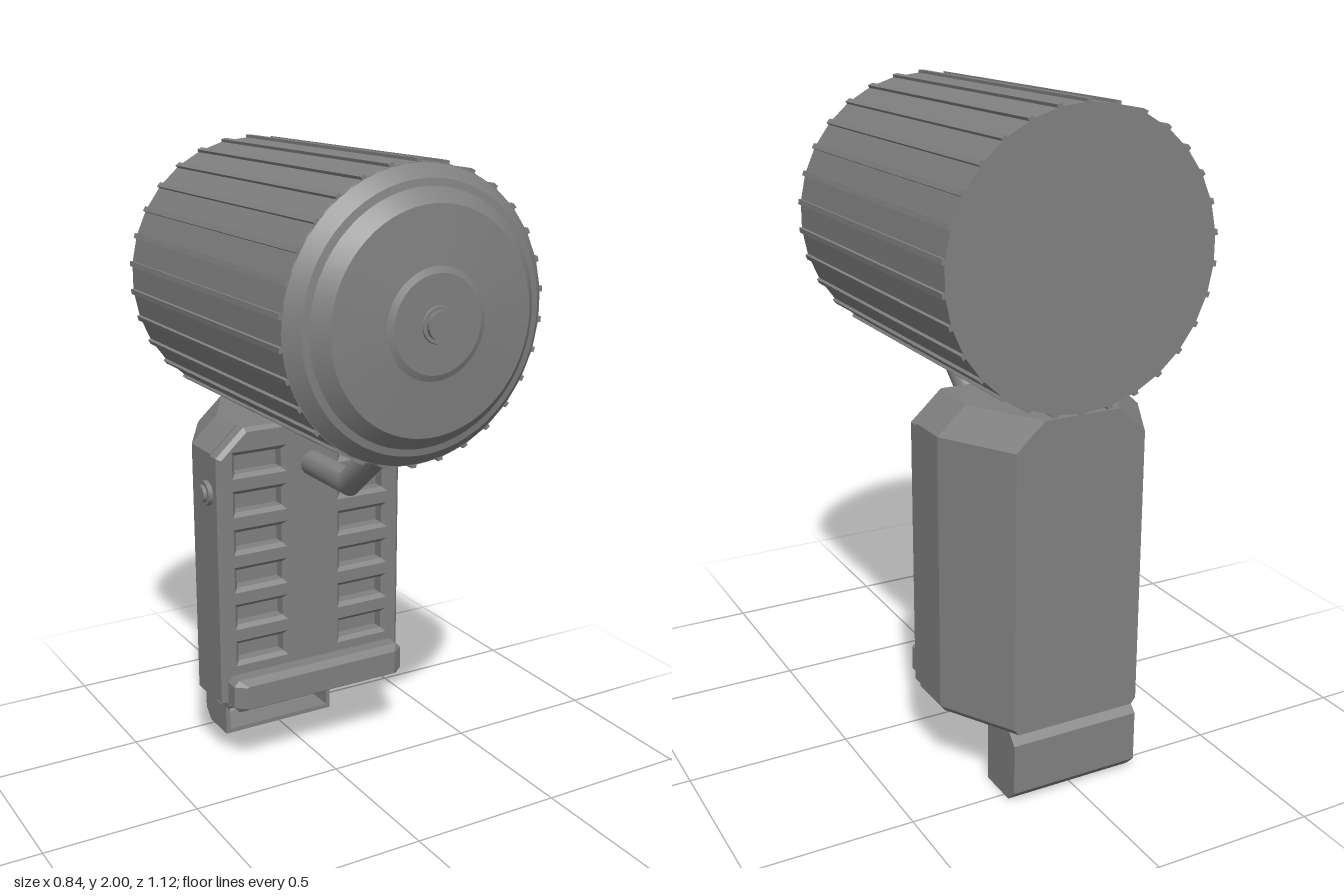
import * as THREE from 'three';
import { toCreasedNormals } from 'three/addons/utils/BufferGeometryUtils.js';

const grey = new THREE.MeshStandardMaterial({ color: 0x808080 });
grey.name = 'grey';

// Closed solid through rings of [x, y, z], counter-clockwise seen from +z, ordered back to front
function loft(rings, crease = 0.1) {
  const n = rings[0].length, pos = [];
  const tri = (a, b, c) => pos.push(...a, ...b, ...c);
  for (let i = 0; i + 1 < rings.length; i++) {
    for (let j = 0; j < n; j++) {
      const k = (j + 1) % n, r = rings[i], s = rings[i + 1];
      tri(r[j], r[k], s[k]);
      tri(r[j], s[k], s[j]);
    }
  }
  const back = rings[0], front = rings[rings.length - 1];
  for (let j = 1; j + 1 < n; j++) {
    tri(back[0], back[j + 1], back[j]);
    tri(front[0], front[j], front[j + 1]);
  }
  const g = new THREE.BufferGeometry();
  g.setAttribute('position', new THREE.Float32BufferAttribute(pos, 3));
  return toCreasedNormals(g, crease);
}

// Housing outline: chamfered top corners, slightly bevelled bottom corners
function housingOutline(w, y0, y1) {
  return [[w - 0.015, y0], [w, y0 + 0.018], [w, y1 - 0.08], [w - 0.088, y1],
    [-w + 0.088, y1], [-w, y1 - 0.08], [-w, y0 + 0.018], [-w + 0.015, y0]];
}

// Rectangle with clipped corners
function clippedRect(w, y0, y1, c) {
  return [[w - c, y0], [w, y0 + c], [w, y1 - c], [w - c, y1],
    [-w + c, y1], [-w, y1 - c], [-w, y0 + c], [-w + c, y0]];
}

const atZ = (outline, z) => outline.map(([x, y]) => [x, y, z]);
const toShape = (pts) => new THREE.Shape(pts.map(([x, y]) => new THREE.Vector2(x, y)));

export function createModel() {
  const model = new THREE.Group();
  const add = (name, geometry, parent = model) => {
    const mesh = new THREE.Mesh(geometry, grey);
    mesh.name = name;
    parent.add(mesh);
    return mesh;
  };

  // Ribbed drum lying along z
  const drum = new THREE.Group();
  drum.name = 'drum';
  drum.position.y = 1.578;
  model.add(drum);
  const ribs = 30, zBack = -0.56, zFront = 0.438;
  const shell = new THREE.CylinderGeometry(0.415, 0.415, zFront - zBack, ribs);
  shell.rotateX(Math.PI / 2).translate(0, 0, (zFront + zBack) / 2);
  add('drumShell', toCreasedNormals(shell, 0.1), drum);
  for (let i = 0; i < ribs; i++) {
    const rib = add('drumRib', new THREE.BoxGeometry(0.016, 0.024, zFront - zBack), drum);
    const a = (i / ribs) * Math.PI * 2;
    rib.position.set(Math.sin(a) * 0.411, Math.cos(a) * 0.411, (zFront + zBack) / 2);
    rib.rotation.z = -a;
  }

  // Stepped front cover with a centre knob
  const cover = [[0.414, 0.436], [0.376, 0.476], [0.355, 0.48], [0.315, 0.52], [0.155, 0.534],
    [0.137, 0.542], [0.052, 0.542], [0.05, 0.547], [0.04, 0.547], [0.04, 0.56], [0, 0.56]];
  const dome = new THREE.LatheGeometry(cover.map(([r, z]) => new THREE.Vector2(r, z)), 60);
  add('frontCover', toCreasedNormals(dome.rotateX(Math.PI / 2), 0.2), drum);

  // Housing: rear tapers inward
  const wide = housingOutline(0.33, 0.225, 1.16);
  add('housing', loft([
    atZ(housingOutline(0.205, 0.225, 1.16), -0.56), atZ(wide, -0.335), atZ(wide, -0.2),
  ]));

  // Bevelled front panel with two columns of recessed slots
  const panel = toShape(housingOutline(0.317, 0.238, 1.147));
  for (const side of [-1, 1]) {
    for (let i = 0; i < 6; i++) {
      const x = side * 0.186, y = 1.045 - i * 0.1255, w = 0.094, h = 0.043;
      panel.holes.push(new THREE.Path([
        [x - w, y - h], [x - w, y + h], [x + w, y + h], [x + w, y - h],
      ].map(([px, py]) => new THREE.Vector2(px, py))));
    }
  }
  const panelGeo = new THREE.ExtrudeGeometry(panel, {
    depth: 0.07, bevelEnabled: true, bevelSize: 0.013, bevelThickness: 0.013, bevelSegments: 1,
  });
  add('frontPanel', toCreasedNormals(panelGeo.translate(0, 0, -0.15 - 0.083), 0.1));

  // Bumper bar low on the front
  const bar = clippedRect(0.312, 0.235, 0.345, 0.018);
  add('bumper', loft([
    atZ(bar, -0.16), atZ(bar, -0.105), atZ(clippedRect(0.275, 0.25, 0.328, 0.003), -0.08),
  ]));

  // Bent arm between housing and drum, mitred at the bend
  const ring = (z, y, shear) => Array.from({ length: 24 }, (_, i) => {
    const a = (i / 24) * Math.PI * 2, dy = Math.sin(a) * 0.04;
    return [Math.cos(a) * 0.04, y + dy, z - dy * shear];
  });
  add('arm', loft([ring(-0.17, 1.015, 0), ring(0.083, 1.015, 0.36), ring(0.29, 1.188, 0.36)], 0.5));

  // Side button
  for (const [name, r, x] of [['buttonBase', 0.04, -0.345], ['buttonCap', 0.028, -0.357]]) {
    const g = new THREE.CylinderGeometry(r, r, 0.05, 20);
    add(name, g.rotateZ(Math.PI / 2)).position.set(x + 0.025, 0.948, -0.225);
  }

  // Tray under the housing: thin shell open to the front, drawn in (z, y) and swept along x
  const outer = [[-0.4, 0], [-0.525, 0], [-0.56, 0.035], [-0.56, 0.19], [-0.525, 0.226], [-0.4, 0.226]];
  const inner = [[-0.4, 0.211], [-0.518, 0.211], [-0.545, 0.183], [-0.545, 0.043], [-0.518, 0.015], [-0.4, 0.015]];
  const sweep = (pts, x0, x1) => new THREE.ExtrudeGeometry(toShape(pts), { depth: x1 - x0, bevelEnabled: false })
    .rotateY(-Math.PI / 2).translate(x1, 0, 0);
  add('trayShell', sweep([...outer, ...inner], -0.19, 0.19));
  add('traySideLeft', sweep(outer, 0.19, 0.205));
  add('traySideRight', sweep(outer, -0.205, -0.19));

  return model;
}
